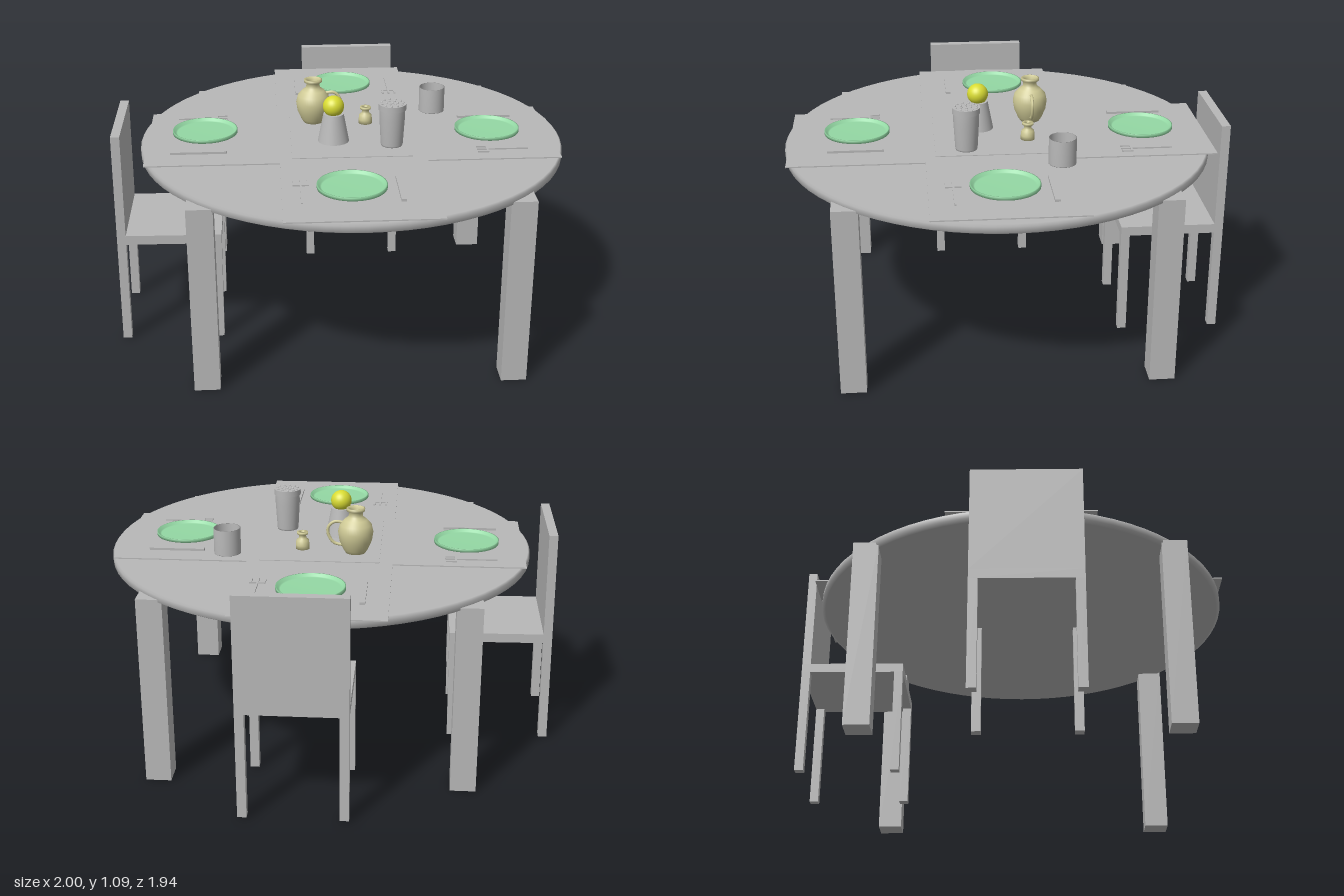
import * as THREE from 'three';

const mat = (name, color) => {
  const m = new THREE.MeshStandardMaterial({ color });
  m.name = name;
  return m;
};

export function createModel() {
  const model = new THREE.Group();
  model.name = 'diningSet';
  const grey = mat('grey', 0xb8b8b8);
  const green = mat('plateGreen', 0x94d8a4);
  const clay = mat('paleClay', 0xcfca96);
  const yellow = mat('yellow', 0xd9dc34);

  const add = (parent, name, geo, material, x = 0, y = 0, z = 0) => {
    const mesh = new THREE.Mesh(geo, material);
    mesh.name = name;
    mesh.position.set(x, y, z);
    parent.add(mesh);
    return mesh;
  };
  const group = (name, x = 0, y = 0, z = 0, turn = 0) => {
    const g = new THREE.Group();
    g.name = name;
    g.position.set(x, y, z);
    g.rotation.y = turn;
    model.add(g);
    return g;
  };
  // box given by its minimum and maximum corners
  const block = (parent, name, [x0, y0, z0], [x1, y1, z1]) =>
    add(parent, name, new THREE.BoxGeometry(x1 - x0, y1 - y0, z1 - z0), grey,
      (x0 + x1) / 2, (y0 + y1) / 2, (z0 + z1) / 2);
  const lathe = (pts, n = 40) =>
    new THREE.LatheGeometry(pts.map(([r, y]) => new THREE.Vector2(r, y)), n);

  // round table with softened rim
  const table = group('table');
  add(table, 'tableTop', lathe([
    [0, 0.835], [0.925, 0.835], [0.942, 0.845], [0.942, 0.872], [0.934, 0.881], [0, 0.881],
  ], 72), grey, 0.057, 0, 0.027);
  for (const x of [-0.602, 0.714]) {
    for (const z of [-0.629, 0.69]) {
      block(table, 'tableLeg', [x - 0.055, 0.01, z - 0.055], [x + 0.055, 0.855, z + 0.055]);
    }
  }

  // place mats around the centre cloth
  const mats = group('placeMats');
  const y0 = 0.881, y1 = 0.886;
  block(mats, 'backMat', [-0.275, y0, -0.91], [0.362, y1, -0.28]);
  block(mats, 'frontMat', [-0.27, y0, 0.355], [0.367, y1, 0.948]);
  block(mats, 'leftMat', [-0.853, y0, -0.28], [-0.27, y1, 0.355]);
  block(mats, 'rightMat', [0.362, y0, -0.28], [0.95, y1, 0.355]);
  block(mats, 'middleMat', [-0.27, y0, -0.28], [0.362, y1, 0.355]);
  block(mats, 'centreCloth', [-0.217, y1, -0.27], [0.307, 0.889, 0.31]);

  // plates
  const plateGeo = lathe([
    [0, 0.893], [0.125, 0.893], [0.145, 0.9], [0.145, 0.914], [0.14, 0.914],
    [0.132, 0.903], [0.125, 0.901], [0, 0.901],
  ], 48);
  for (const [x, z] of [[-0.6, 0], [0.672, 0.04], [0.05, -0.625], [0.018, 0.652]]) {
    add(model, 'plate', plateGeo, green, x, 0, z);
  }

  // knives: centre and whether they run along x
  for (const [x, z, alongX] of [
    [-0.168, -0.63, false], [0.218, 0.655, false], [-0.622, 0.222, true], [0.69, -0.157, true],
  ]) {
    const [w, d] = alongX ? [0.245, 0.022] : [0.022, 0.245];
    add(model, 'knife', new THREE.BoxGeometry(w, 0.01, d), grey, x, 0.891, z);
  }

  // forks: tines point to local +z, towards the table centre
  const quarter = Math.PI / 2;
  for (const [x, z, turn] of [
    [0.28, -0.545, 0], [-0.19, 0.6, 2 * quarter], [-0.55, -0.2, quarter], [0.64, 0.25, -quarter],
  ]) {
    const fork = group('fork', x, 0.889, z, turn);
    add(fork, 'forkHandle', new THREE.BoxGeometry(0.008, 0.006, 0.18), grey, 0, 0, -0.09);
    add(fork, 'forkBridge', new THREE.BoxGeometry(0.068, 0.006, 0.008), grey);
    for (const i of [-1, 0, 1]) {
      add(fork, 'forkTine', new THREE.BoxGeometry(0.009, 0.006, 0.045), grey, i * 0.029, 0, 0.022);
    }
  }

  // jug with a side handle
  const jug = group('jug', -0.107, 0.886, -0.138);
  add(jug, 'jugBody', lathe([
    [0, 0], [0.042, 0], [0.055, 0.02], [0.072, 0.06], [0.078, 0.1], [0.07, 0.133], [0.05, 0.155],
    [0.032, 0.168], [0.03, 0.188], [0.041, 0.196], [0.041, 0.207], [0.034, 0.209],
    [0.024, 0.195], [0.024, 0.16], [0, 0.15],
  ]), clay);
  const handlePath = new THREE.CatmullRomCurve3([
    [0.055, 0.14], [0.095, 0.142], [0.122, 0.115], [0.118, 0.075], [0.095, 0.045], [0.055, 0.035],
  ].map(([x, y]) => new THREE.Vector3(x, y, 0)));
  add(jug, 'jugHandle', new THREE.TubeGeometry(handlePath, 24, 0.007, 8), clay);

  // little waisted holder
  add(model, 'smallHolder', lathe([
    [0, 0], [0.031, 0], [0.031, 0.022], [0.028, 0.044], [0.017, 0.052], [0.016, 0.066],
    [0.025, 0.071], [0.025, 0.081], [0.01, 0.082], [0.01, 0.05], [0, 0.05],
  ], 24), clay, 0.132, 0.886, -0.105);

  // tapered stand holding a ball
  const stand = group('ballStand', -0.027, 0.886, 0.107);
  add(stand, 'standCone', new THREE.CylinderGeometry(0.045, 0.07, 0.13, 40), grey, 0, 0.065);
  add(stand, 'ball', new THREE.SphereGeometry(0.047, 32, 20), yellow, 0, 0.164);

  // shaker with a studded cap
  const shaker = group('shaker', 0.227, 0.886, 0.173);
  add(shaker, 'shakerBody', lathe([
    [0, 0], [0.046, 0], [0.049, 0.01], [0.056, 0.13], [0.056, 0.172],
  ]), grey);
  add(shaker, 'shakerCap', new THREE.CylinderGeometry(0.061, 0.061, 0.026, 40), grey, 0, 0.183);
  const stud = new THREE.SphereGeometry(0.005, 8, 6);
  for (const [count, r] of [[1, 0], [6, 0.024], [11, 0.048]]) {
    for (let i = 0; i < count; i++) {
      const a = (i / count) * Math.PI * 2;
      add(shaker, 'capStud', stud, grey, r * Math.cos(a), 0.197, r * Math.sin(a));
    }
  }

  // open cup
  add(model, 'cup', lathe([
    [0, 0], [0.059, 0], [0.059, 0.002], [0.059, 0.114], [0.056, 0.114], [0.056, 0.006],
    [0.056, 0.004], [0, 0.004],
  ]), grey, 0.453, 0.903, -0.22);

  // chair with its back along local -z, seat reaching forward
  const makeChair = (name, x, z, turn, tilt) => {
    const chair = group(name, x, 0.015, z, turn);
    chair.rotation.order = 'YXZ';
    chair.rotation.x = tilt;
    const h = 0.231, t = 0.039;
    block(chair, 'chairSeat', [-h, 0.472, 0], [h, 0.514, 0.46]);
    block(chair, 'chairBack', [-h, 0.514, 0], [h, 0.982, t]);
    for (const lx of [-h, h - t]) {
      for (const lz of [0, 0.46 - t]) {
        block(chair, 'chairLeg', [lx, 0, lz], [lx + t, 0.472, lz + t]);
      }
    }
  };
  makeChair('backChair', 0.099, -0.968, 0, 0);
  makeChair('sideChair', -1, 0.06, quarter, 0.01);

  model.position.y = -0.01;
  return model;
}
